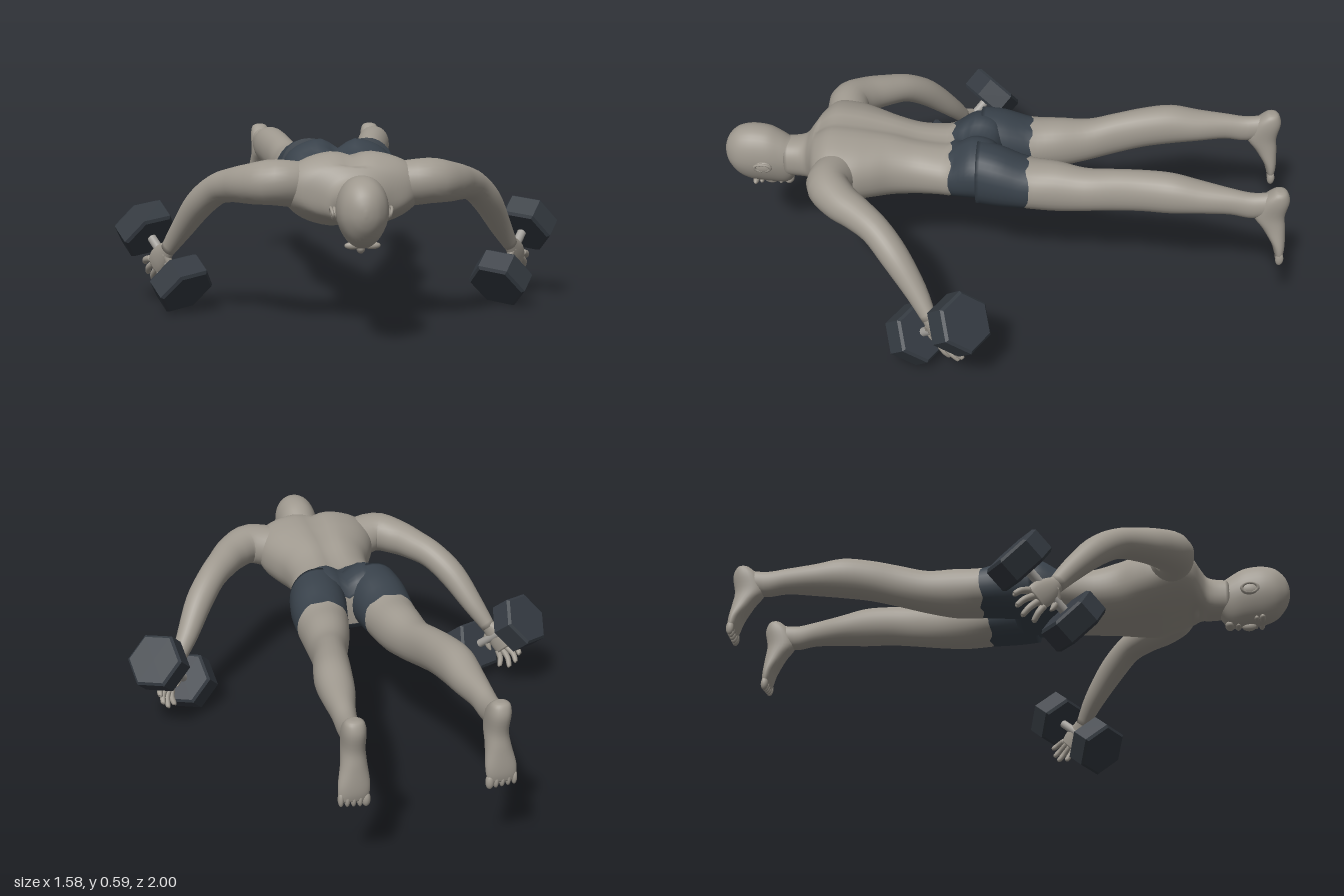
import * as THREE from 'three';
import { mergeVertices } from 'three/addons/utils/BufferGeometryUtils.js';

const V = (x, y, z) => new THREE.Vector3(x, y, z);
const GRIP = V(0.125, 0.168, -0.162).normalize(); // direction of the dumbbell bar

const spline = (a, b, c, d, t) =>
  0.5 * (2 * b + (c - a) * t + (2 * a - 5 * b + 4 * c - d) * t * t + (3 * b - a - 3 * c + d) * t * t * t);

// Smooth skin through cross-sections [x, y, z, halfWidth, up, down].
function loft(rows, { t = null, side = V(1, 0, 0), seg = 28, sub = 4, p = 1, rule = null, shorts = null } = {}) {
  const rings = [];
  const row = i => rows[Math.min(rows.length - 1, Math.max(0, i))];
  for (let i = 0; i < rows.length - 1; i++)
    for (let k = 0; k < sub; k++)
      rings.push(row(i).map((v, c) => spline(row(i - 1)[c], v, row(i + 1)[c], row(i + 2)[c], k / sub)));
  rings.push(row(rows.length - 1));
  const n = rings.length, pos = [], idx = [], centre = rings.map(r => V(r[0], r[1], r[2]));
  const bend = v => Math.sign(v) * Math.pow(Math.abs(v), p);
  rings.forEach((r, i) => {
    const dir = t || centre[Math.min(n - 1, i + 1)].clone().sub(centre[Math.max(0, i - 1)]).normalize();
    const s = side.clone().addScaledVector(dir, -side.dot(dir)).normalize();
    const u = dir.clone().cross(s);
    for (let j = 0; j < seg; j++) {
      const a = j / seg * Math.PI * 2, sn = bend(Math.sin(a));
      const q = centre[i].clone().addScaledVector(s, r[3] * bend(Math.cos(a))).addScaledVector(u, sn * (sn > 0 ? r[4] : r[5]));
      if (rule) rule(q);
      pos.push(q.x, q.y, q.z);
    }
  });
  const geo = new THREE.BufferGeometry();
  let start = 0, current = -1;
  for (let i = 0; i < n - 1; i++) {
    // material 1 covers the rings inside the shorts' z range
    const z = (rings[i][2] + rings[i + 1][2]) / 2;
    const m = shorts && z > shorts[0] && z < shorts[1] ? 1 : 0;
    if (m !== current) {
      if (current >= 0) geo.addGroup(start, idx.length - start, current);
      start = idx.length; current = m;
    }
    for (let j = 0; j < seg; j++) {
      const a = i * seg + j, b = i * seg + (j + 1) % seg;
      idx.push(a, b, a + seg, b, b + seg, a + seg);
    }
  }
  for (const [i, flip] of [[0, true], [n - 1, false]]) {
    const c = pos.length / 3;
    pos.push(...centre[i].toArray());
    for (let j = 0; j < seg; j++) {
      const a = i * seg + j, b = i * seg + (j + 1) % seg;
      idx.push(c, flip ? b : a, flip ? a : b);
    }
  }
  geo.addGroup(start, idx.length - start, current);
  geo.setAttribute('position', new THREE.Float32BufferAttribute(pos, 3));
  geo.setIndex(idx);
  geo.computeVertexNormals();
  return geo;
}

const body = ([z, w, top, bot, x = 0]) => [x, (top + bot) / 2, z, w, (top - bot) / 2, (top - bot) / 2];
const limb = ([x, y, z, r, h = r]) => [x, y, z, r, h, h];
const ball = (x, y, z, a, b, c) => new THREE.SphereGeometry(1, 18, 12).scale(a, b, c).translate(x, y, z);
const hem = (q, z0) => { if (Math.abs(q.z - z0) < 0.002) q.z += 0.007 * Math.sin(q.x * 95 + q.y * 20); };

function mirrored(geo) {
  const g = geo.clone().scale(-1, 1, 1), ix = g.index.array;
  for (let i = 0; i < ix.length; i += 3) [ix[i], ix[i + 1]] = [ix[i + 1], ix[i]];
  const nm = g.attributes.normal;
  g.computeVertexNormals();
  if (nm) for (let i = 0; i < nm.count; i++) { // keep the source normals, reflected
    const o = geo.attributes.normal;
    g.attributes.normal.setXYZ(i, -o.getX(i), o.getY(i), o.getZ(i));
  }
  return g;
}

export function createModel() {
  const mat = (name, color) => Object.assign(new THREE.MeshStandardMaterial({ color }), { name });
  const skin = mat('skin', 0x9f998f), cloth = mat('shorts', 0x38414a);
  const iron = mat('iron', 0x353b42), steel = mat('steel', 0xa3a09b);
  const model = new THREE.Group();
  model.name = 'proneFigureWithDumbbells';
  const add = (name, geo, m) => {
    const mesh = new THREE.Mesh(geo, m);
    mesh.name = name;
    model.add(mesh);
  };
  const pair = (name, geo, m) => { add(name + 'Left', geo, m); add(name + 'Right', mirrored(geo), m); };

  // Trunk, with spine groove, shoulder blades and the seat of the shorts
  const trunk = [
    [0.0, 0.15, 0.54, 0.40], [0.03, 0.196, 0.585, 0.37], [0.1, 0.196, 0.60, 0.365], [0.175, 0.172, 0.556, 0.362],
    [0.22, 0.162, 0.55, 0.36], [0.30, 0.152, 0.56, 0.35], [0.38, 0.163, 0.58, 0.345], [0.45, 0.195, 0.592, 0.345],
    [0.52, 0.222, 0.602, 0.347], [0.60, 0.225, 0.605, 0.37], [0.65, 0.185, 0.578, 0.385], [0.68, 0.115, 0.55, 0.38],
    [0.71, 0.077, 0.52, 0.37], [0.78, 0.066, 0.51, 0.37]];
  add('trunk', loft(trunk.map(body), {
    t: V(0, 0, 1), seg: 48, p: 0.88, shorts: [-1, 0.175],
    rule: q => {
      hem(q, 0.175);
      if (q.z > 0.66) return;
      const depth = q.z < 0.14 ? 0.04 : 0.018, cut = Math.exp(-((q.x / 0.035) ** 2));
      if (q.y > 0.5) q.y -= depth * cut;
      else if (q.z > 0.25 && q.y < 0.4) q.y += 0.012 * cut;
    },
  }), [skin, cloth]);

  // Legs, with the lower half of the shorts
  const leg = [
    [-0.97, 0.03, 0.545, 0.46, 0.232], [-0.88, 0.034, 0.53, 0.435, 0.23], [-0.8, 0.04, 0.54, 0.445, 0.225],
    [-0.7, 0.055, 0.555, 0.44, 0.215], [-0.6, 0.063, 0.575, 0.43, 0.207], [-0.5, 0.062, 0.57, 0.42, 0.19],
    [-0.4, 0.06, 0.555, 0.40, 0.17], [-0.3, 0.068, 0.537, 0.38, 0.15], [-0.2, 0.082, 0.545, 0.366, 0.133],
    [-0.1, 0.093, 0.547, 0.368, 0.123], [0, 0.102, 0.582, 0.365, 0.113], [0.08, 0.1, 0.597, 0.366, 0.103]];
  pair('leg', loft(leg.map(body), {
    t: V(0, 0, 1), p: 0.95, shorts: [-0.1, 1], rule: q => hem(q, -0.1),
  }), [skin, cloth]);

  // Feet hang toes down: [y, halfWidth, sole z, instep z, x]
  const foot = [
    [0.285, 0.044, -0.995, -0.972, 0.24], [0.31, 0.05, -1, -0.963, 0.238], [0.345, 0.05, -1, -0.95, 0.236],
    [0.40, 0.041, -0.995, -0.915, 0.232], [0.45, 0.037, -0.99, -0.88, 0.23], [0.51, 0.038, -1, -0.9, 0.231],
    [0.545, 0.03, -0.99, -0.935, 0.232], [0.555, 0.012, -0.975, -0.95, 0.232]];
  pair('foot', loft(foot.map(([y, w, a, b, x]) => [x, y, (a + b) / 2, w, (b - a) / 2, (b - a) / 2]), { t: V(0, 1, 0), p: 0.9 }), skin);
  for (let i = 0; i < 5; i++)
    pair('toe' + i, ball(0.2 + i * 0.02, 0.284 + i * 0.002, -0.984, i ? 0.0095 : 0.014, 0.026, 0.014), skin);

  // Arms, thick at the shoulder and bent at the elbow
  const arm = [
    [0.15, 0.49, 0.56, 0.07, 0.08], [0.25, 0.505, 0.585, 0.075], [0.325, 0.495, 0.535, 0.067], [0.38, 0.483, 0.465, 0.058],
    [0.435, 0.46, 0.395, 0.052], [0.495, 0.4, 0.325, 0.05], [0.555, 0.305, 0.25, 0.039], [0.605, 0.225, 0.2, 0.028, 0.024]];
  pair('arm', loft(arm.map(limb), { side: GRIP }), skin);

  // Hands: flat palm and spread fingers
  const palm = [[0.598, 0.236, 0.207, 0.025, 0.022], [0.622, 0.205, 0.182, 0.04, 0.02],
    [0.64, 0.178, 0.157, 0.046, 0.018], [0.652, 0.155, 0.138, 0.042, 0.013]];
  pair('palm', loft(palm.map(limb), { side: GRIP, seg: 20 }), skin);
  const tips = [[0.69, 0.158, 0.072], [0.68, 0.122, 0.08], [0.66, 0.095, 0.096], [0.632, 0.085, 0.13]];
  tips.forEach((tip, i) => {
    const base = V(0.65, 0.159, 0.142).addScaledVector(GRIP, (1.5 - i) * 0.023), end = V(...tip);
    const mid = base.clone().lerp(end, 0.55).add(V(0.006, 0.004, 0.002));
    pair('finger' + i, loft([[...base, 0.012], [...mid, 0.011], [...base.clone().lerp(end, 0.93), 0.009], [...end, 0.003]].map(limb),
      { side: GRIP, seg: 12 }), skin);
  });
  pair('thumb', loft([[0.615, 0.21, 0.2, 0.014], [0.6, 0.175, 0.205, 0.013], [0.606, 0.145, 0.193, 0.01], [0.612, 0.132, 0.183, 0.003]].map(limb),
    { side: GRIP, seg: 12 }), skin);

  // Head, narrowing towards the face, which looks down
  const head = [
    [0.735, 0.055, 0.505, 0.39], [0.762, 0.062, 0.512, 0.345], [0.79, 0.07, 0.53, 0.328], [0.83, 0.078, 0.552, 0.33],
    [0.87, 0.081, 0.56, 0.334], [0.91, 0.08, 0.56, 0.34], [0.95, 0.07, 0.548, 0.36], [0.98, 0.047, 0.52, 0.395],
    [0.994, 0.024, 0.49, 0.425], [0.999, 0.004, 0.465, 0.45]];
  add('head', loft(head.map(body), {
    t: V(0, 0, 1), seg: 36, p: 0.93,
    rule: q => { if (q.y < 0.44) q.x *= 1 - (0.44 - q.y) * 1.8; },
  }), skin);
  add('nose', ball(0, 0.331, 0.845, 0.014, 0.018, 0.026), skin);
  add('lips', ball(0, 0.33, 0.807, 0.024, 0.009, 0.01), skin);
  add('chin', ball(0, 0.337, 0.778, 0.026, 0.017, 0.018), skin);
  pair('brow', ball(0.03, 0.346, 0.893, 0.026, 0.012, 0.011), skin);
  pair('eyelid', ball(0.031, 0.346, 0.872, 0.015, 0.01, 0.008), skin);
  pair('ear', ball(0.083, 0.44, 0.85, 0.01, 0.022, 0.031), skin);
  pair('earRim', new THREE.TorusGeometry(0.022, 0.005, 8, 20).scale(0.8, 1.3, 1)
    .rotateX(Math.PI / 2).rotateZ(Math.PI / 2 - 0.25).translate(0.09, 0.442, 0.852), skin);

  // Dumbbells: six-sided heads on a bar
  const turn = new THREE.Quaternion().setFromUnitVectors(V(0, 1, 0), GRIP);
  const place = (geo, x, y, z) => geo.applyQuaternion(turn).translate(x, y, z);
  const profile = [[0, -0.047], [0.096, -0.047], [0.106, -0.038], [0.106, 0.038], [0.096, 0.047], [0, 0.047]];
  for (const [name, x, y, z] of [['lowerWeight', 0.56, 0.115, 0.254], ['upperWeight', 0.684, 0.283, 0.091]]) {
    const flat = new THREE.LatheGeometry(profile.map(([a, b]) => new THREE.Vector2(a, b)), 6).toNonIndexed();
    flat.deleteAttribute('uv');
    flat.computeVertexNormals();
    pair(name, mergeVertices(place(flat, x, y, z)), iron);
  }
  pair('bar', place(new THREE.CylinderGeometry(0.016, 0.016, 0.2, 16), 0.622, 0.199, 0.1725), steel);
  return model;
}
